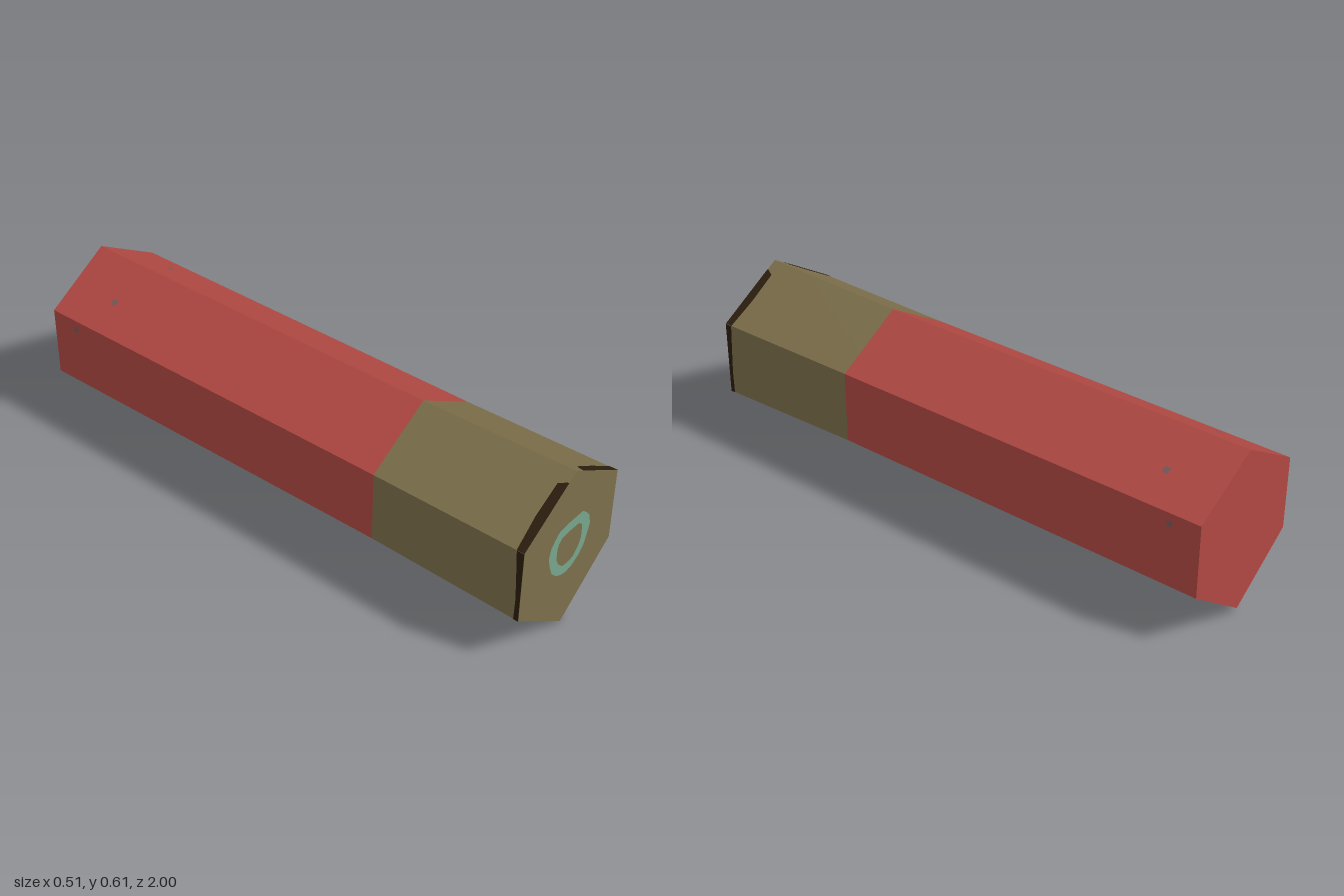
import * as THREE from 'three';

// Hexagonal sections, counter-clockwise from the top as seen from the front
const BODY = [[0, 0.603], [-0.247, 0.457], [-0.247, 0.197], [0, 0.02], [0.247, 0.197], [0.247, 0.457]];
const FRONT = [[0, 0.615], [-0.254, 0.46], [-0.254, 0.188], [0, 0.002], [0.254, 0.188], [0.254, 0.46]];
const SEAM = 0.43;

const mat = (name, color) => {
  const m = new THREE.MeshStandardMaterial({ color });
  m.name = name;
  return m;
};

// Section corner at depth z: straight body, then a slight flare to the front
function corner(i, z) {
  const f = Math.max(0, (z - SEAM) / (1 - SEAM));
  const a = BODY[i % 6], b = FRONT[i % 6];
  return new THREE.Vector3(a[0] + (b[0] - a[0]) * f, a[1] + (b[1] - a[1]) * f, z);
}

// Flat outline in (u, z) laid on side face i; u runs 0..1 across the face
function onFace(i, outline, lift = 0) {
  const geo = new THREE.ShapeGeometry(new THREE.Shape(outline.map(([u, z]) => new THREE.Vector2(u, z))));
  const pos = geo.attributes.position;
  const edge = corner(i + 1, 0).sub(corner(i, 0)).normalize();
  const normal = edge.cross(new THREE.Vector3(0, 0, 1));
  for (let k = 0; k < pos.count; k++) {
    const z = pos.getY(k);
    const p = corner(i, z).lerp(corner(i + 1, z), pos.getX(k)).addScaledVector(normal, lift);
    pos.setXYZ(k, p.x, p.y, p.z);
  }
  geo.computeVertexNormals();
  return geo;
}

const rect = (u0, u1, z0, z1) => [[u0, z0], [u1, z0], [u1, z1], [u0, z1]];
const toShape = (pts) => new THREE.Shape(pts.map(([x, y]) => new THREE.Vector2(x, y)));
// Completes a left-right symmetric outline from its right half
const mirrored = (half) => [...half, ...half.slice().reverse().filter(([x]) => x > 0).map(([x, y]) => [-x, y])];

export function createModel() {
  const group = new THREE.Group();
  const red = mat('red', 0xb04843);
  const olive = mat('olive', 0x7b6e4a);
  const teal = mat('teal', 0x76a58c);
  const dark = mat('dark brown', 0x2a1e0e);
  const grey = mat('grey', 0x6b5d5c);
  const add = (name, geo, material) => {
    const mesh = new THREE.Mesh(geo, material);
    mesh.name = name;
    group.add(mesh);
    return mesh;
  };

  // Long sides: red handle and olive head
  for (let i = 0; i < 6; i++) {
    add('handleSide', onFace(i, rect(0, 1, -1, SEAM)), red);
    add('headSide', onFace(i, rect(0, 1, SEAM, 1)), olive);
  }

  // End caps
  add('frontCap', new THREE.ShapeGeometry(toShape(FRONT)), olive).position.z = 1;
  const back = add('backCap', new THREE.ShapeGeometry(toShape(BODY)), red);
  back.position.z = -1;
  back.rotation.y = Math.PI;

  // Ring mark on the front cap
  const ring = toShape(mirrored([[0, 0.217], [0.03, 0.222], [0.06, 0.238], [0.088, 0.265],
    [0.102, 0.3], [0.114, 0.34], [0.105, 0.378], [0.085, 0.402], [0.062, 0.421], [0, 0.423]]));
  ring.holes.push(new THREE.Path(mirrored([[0, 0.253], [0.03, 0.258], [0.055, 0.283], [0.068, 0.31],
    [0.068, 0.35], [0.063, 0.368], [0.046, 0.383], [0, 0.385]]).map(([x, y]) => new THREE.Vector2(x, y))));
  add('frontRing', new THREE.ShapeGeometry(ring), teal).position.z = 1.002;

  // Worn dark rim around the front edge, as [u, inner z] on the left faces
  const rims = [
    [[0.15, 0.995], [0.2, 0.968], [0.6, 0.965], [1, 0.972]],
    [[0, 0.973], [0.3, 0.978], [0.7, 0.984], [1, 0.982]],
    [[0, 0.982], [0.4, 0.972], [0.75, 0.955], [0.92, 0.925], [1, 0.94]],
  ];
  rims.forEach((rim, i) => {
    const outline = [...rim, [1, 1], [rim[0][0], 1]];
    add('frontRim', onFace(i, outline, 0.0015), dark);
    add('frontRim', onFace(5 - i, outline.map(([u, z]) => [1 - u, z]).reverse(), 0.0015), dark);
  });

  // Small grey spots near the back
  for (const [i, u, z] of [[0, 0.57, -0.8], [1, 0.14, -0.89], [2, 0.79, -0.95]]) {
    add('spot', onFace(i, rect(u - 0.035, u + 0.035, z - 0.01, z + 0.01), 0.0015), grey);
    add('spot', onFace(5 - i, rect(0.965 - u, 1.035 - u, z - 0.01, z + 0.01), 0.0015), grey);
  }
  return group;
}
